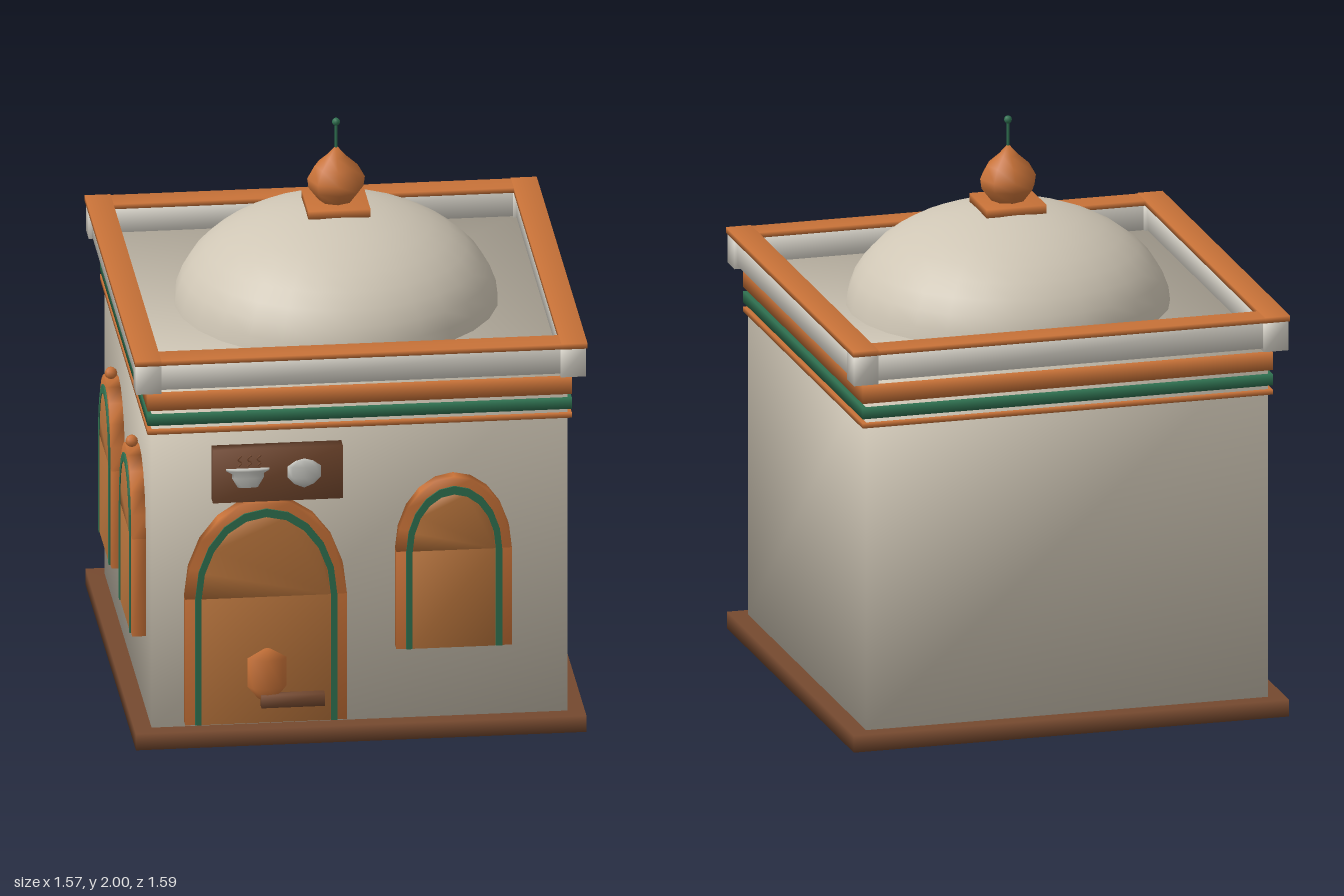
import * as THREE from 'three';
import { mergeVertices } from 'three/addons/utils/BufferGeometryUtils.js';

const mat = (name, color) => {
  const m = new THREE.MeshStandardMaterial({ color });
  m.name = name;
  return m;
};

export function createModel() {
  const plaster = mat('plaster', 0xcfc6b5);
  const parapetStone = mat('parapet stone', 0xd6d2c8);
  const orange = mat('orange trim', 0xc87238);
  const wood = mat('panel wood', 0xb8743c);
  const green = mat('green', 0x2f7050);
  const brown = mat('dark brown', 0x75492f);
  const pale = mat('pale grey', 0xc6c6c0);

  const model = new THREE.Group();
  const building = new THREE.Group();
  building.name = 'building';
  building.position.z = -0.01;
  model.add(building);

  // Shared corners give the soft shading used on every block
  const soft = (geo) => {
    geo.deleteAttribute('uv');
    geo.deleteAttribute('normal');
    const g = mergeVertices(geo, 1e-4);
    g.computeVertexNormals();
    return g;
  };
  const add = (parent, name, geo, material, x = 0, y = 0, z = 0) => {
    const m = new THREE.Mesh(geo, material);
    m.name = name;
    m.position.set(x, y, z);
    parent.add(m);
    return m;
  };
  // Block given by its bottom and top heights
  const block = (parent, name, material, w, y0, y1, d, x = 0, z = 0) =>
    add(parent, name, soft(new THREE.BoxGeometry(w, y1 - y0, d)), material, x, (y0 + y1) / 2, z);
  const lathe = (points, sides) =>
    soft(new THREE.LatheGeometry(points.map((p) => new THREE.Vector2(...p)), sides));

  // Walls, base and bands
  block(building, 'base slab', brown, 1.56, 0, 0.06, 1.56);
  block(building, 'walls', plaster, 1.44, 0.06, 1.33, 1.45);
  block(building, 'upper band', orange, 1.47, 1.235, 1.3, 1.47);
  block(building, 'green band', green, 1.47, 1.18, 1.22, 1.47);
  block(building, 'lower band', orange, 1.47, 1.147, 1.165, 1.47);

  // Parapet with corner blocks and orange coping
  for (const s of [-1, 1]) {
    block(building, 'parapetRail', parapetStone, 1.4, 1.325, 1.42, 0.065, 0, s * 0.735);
    block(building, 'parapetRail', parapetStone, 0.065, 1.325, 1.42, 1.4, s * 0.735, 0);
    block(building, 'coping', orange, 1.56, 1.42, 1.438, 0.09, 0, s * 0.738);
    block(building, 'coping', orange, 0.09, 1.42, 1.44, 1.57, s * 0.738, 0);
    for (const t of [-1, 1])
      block(building, 'parapetCorner', parapetStone, 0.088, 1.315, 1.42, 0.088, s * 0.735, t * 0.735);
  }

  // Dome and finial
  const domeGeo = new THREE.SphereGeometry(0.56, 28, 10, 0, Math.PI * 2, 0, Math.PI / 2);
  domeGeo.scale(1, 0.36 / 0.56, 1);
  add(building, 'dome', soft(domeGeo), plaster, 0, 1.32, 0);
  block(building, 'finial plate', orange, 0.215, 1.67, 1.7, 0.215);
  add(building, 'finial bulb', lathe([[0, 1.7], [0.06, 1.7], [0.095, 1.745], [0.1, 1.78],
    [0.075, 1.825], [0.035, 1.86], [0, 1.9]], 8), orange);
  add(building, 'finial rod', new THREE.CylinderGeometry(0.006, 0.006, 0.11, 8), green, 0, 1.93, 0);
  add(building, 'finial ball', new THREE.SphereGeometry(0.014, 10, 8), green, 0, 1.986, 0);

  // Upper half of an arch, as points from right to left
  const arc = (a, rise) => Array.from({ length: 11 }, (_, i) =>
    new THREE.Vector2(a * Math.cos(i * Math.PI / 10), rise * Math.sin(i * Math.PI / 10)));
  const extrude = (points, depth) =>
    new THREE.ExtrudeGeometry(new THREE.Shape(points), { depth, bevelEnabled: false });

  // Arched opening: a lower block and an arched head, with panels and green edging.
  // The origin is at the spring line, on the wall plane.
  const archway = (name, a, rise, drop) => {
    const g = new THREE.Group();
    g.name = name;
    const layer = (part, material, inset, depth) => {
      const w = a - inset, h = rise - inset;
      add(g, part + ' head', soft(extrude(arc(w, h), depth)), material);
      block(g, part + ' leaf', material, w * 2, -drop, 0, depth, 0, depth / 2);
    };
    layer('frame', orange, 0, 0.05);
    layer('panel', wood, 0.058, 0.053);
    const outer = arc(a - 0.034, rise - 0.034);
    const inner = arc(a - 0.056, rise - 0.064).reverse();
    const edging = extrude([new THREE.Vector2(a - 0.034, -drop), ...outer,
      new THREE.Vector2(0.034 - a, -drop), new THREE.Vector2(0.056 - a, -drop), ...inner,
      new THREE.Vector2(a - 0.056, -drop)], 0.006);
    add(g, 'green edging', edging, green, 0, 0, 0.05);
    return g;
  };

  const door = archway('door', 0.28, 0.36, 0.465);
  door.position.set(-0.328, 0.545, 0.708);
  model.add(door);

  const frontWindow = archway('frontWindow', 0.2, 0.27, 0.36);
  frontWindow.position.set(0.323, 0.69, 0.708);
  model.add(frontWindow);

  for (const z of [-0.3, 0.34]) {
    const w = archway('sideWindow', 0.2, 0.27, 0.36);
    add(w, 'knob', new THREE.SphereGeometry(0.022, 8, 6), orange, 0, 0.285, 0.03);
    w.rotation.y = -Math.PI / 2;
    w.position.set(-0.717, 0.69, z);
    model.add(w);
  }

  // Sign board with a bowl, steam and a faceted pot
  block(model, 'sign board', brown, 0.45, 0.9, 1.095, 0.05, -0.288, 0.74);
  const bowl = add(model, 'sign bowl', lathe([[0, 0], [0.035, 0], [0.055, 0.035], [0.055, 0.05],
    [0.075, 0.062], [0.075, 0.07], [0, 0.07]], 12), pale, -0.392, 0.955, 0.765);
  bowl.scale.z = 0.2;
  for (let i = 0; i < 3; i++) {
    const x = -0.425 + i * 0.033;
    const path = new THREE.CatmullRomCurve3([[0, 1.035], [0.012, 1.047], [-0.002, 1.058], [0.012, 1.073]]
      .map(([dx, y]) => new THREE.Vector3(x + dx, y, 0.768)));
    add(model, 'steam', new THREE.TubeGeometry(path, 8, 0.003, 5), brown);
  }
  const pot = add(model, 'sign pot', lathe([[0, -0.055], [0.035, -0.04], [0.058, -0.015], [0.058, 0.025],
    [0.03, 0.045], [0, 0.053]], 8), pale, -0.197, 1.0, 0.765);
  pot.scale.z = 0.25;

  // Jar and low bench by the door
  const jar = add(model, 'jar', lathe([[0, 0.165], [0.035, 0.17], [0.072, 0.215], [0.072, 0.32], [0, 0.362]], 8),
    orange, -0.325, 0, 0.755);
  jar.scale.z = 0.6;
  block(model, 'bench', brown, 0.22, 0.145, 0.19, 0.045, -0.238, 0.77);

  return model;
}
